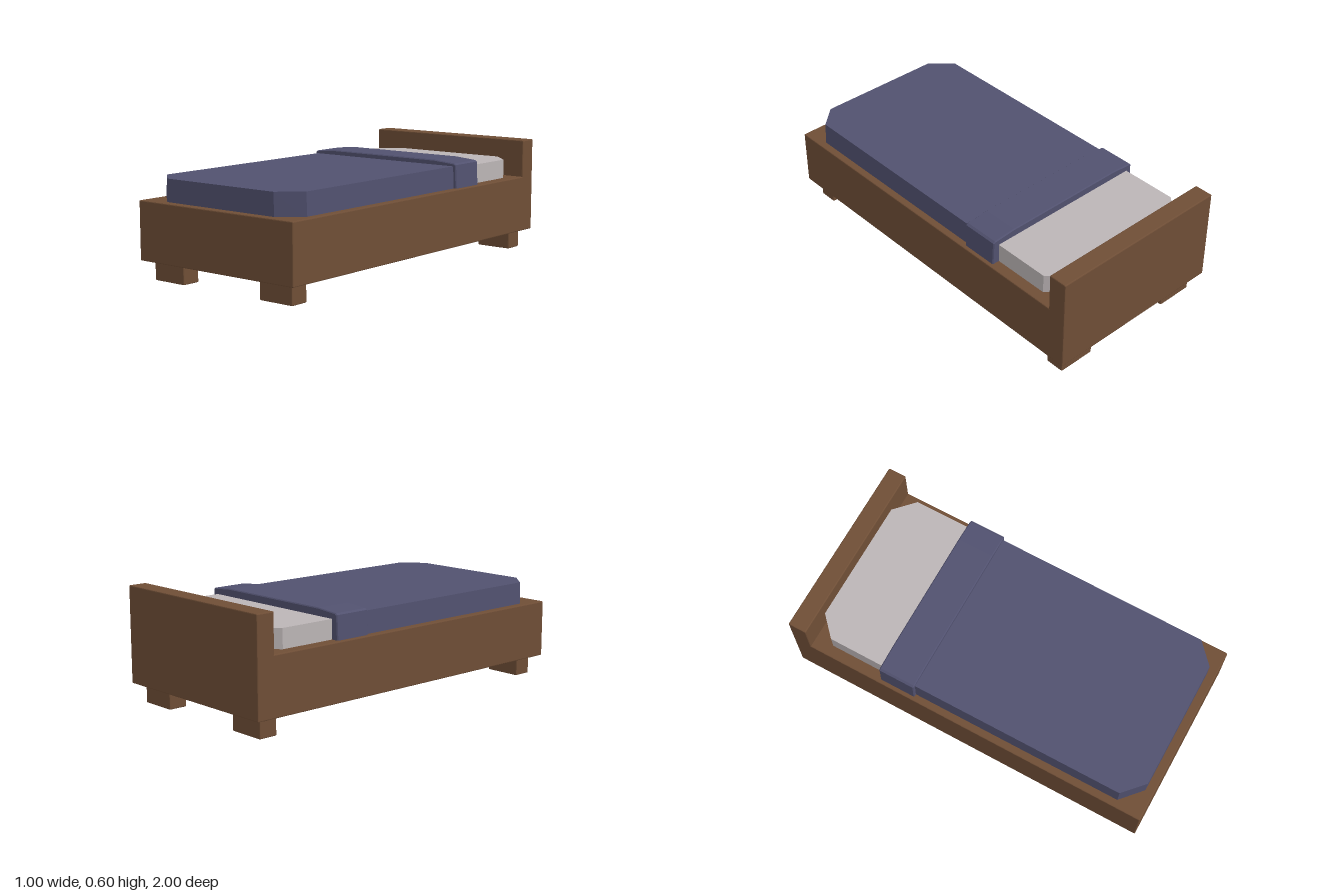
import * as THREE from 'three';
import { RoundedBoxGeometry } from 'three/addons/geometries/RoundedBoxGeometry.js';

const wood = new THREE.MeshStandardMaterial({ color: 0x6f4e36, flatShading: true });
const cloth = new THREE.MeshStandardMaterial({ color: 0x51516f, flatShading: true });
const linen = new THREE.MeshStandardMaterial({ color: 0xbcb5b6, flatShading: true });

// Board with finely eased edges, given by its extents
function board(name, x0, x1, y0, y1, z0, z1) {
  const mesh = new THREE.Mesh(new RoundedBoxGeometry(x1 - x0, y1 - y0, z1 - z0, 1, 0.005), wood);
  mesh.position.set((x0 + x1) / 2, (y0 + y1) / 2, (z0 + z1) / 2);
  mesh.name = name;
  return mesh;
}

// Slab from a plan outline of [x, z] points on the +x side, mirrored to -x
function slab(name, half, y0, y1, material, flare = 0) {
  const outline = [...half, ...half.map(([x, z]) => [-x, z]).reverse()];
  const shape = new THREE.Shape(outline.map(([x, z]) => new THREE.Vector2(x, -z)));
  const geometry = new THREE.ExtrudeGeometry(shape, { depth: y1 - y0, bevelEnabled: false });
  geometry.rotateX(-Math.PI / 2).translate(0, y0, 0);
  // widen the lower edge
  const p = geometry.attributes.position;
  for (let i = 0; i < p.count; i++) {
    if (p.getY(i) < (y0 + y1) / 2) p.setX(i, p.getX(i) * (1 + flare));
  }
  geometry.computeVertexNormals();
  const mesh = new THREE.Mesh(geometry, material);
  mesh.name = name;
  return mesh;
}

// Turned-down band of the blanket: front profile run along z
function foldedBand() {
  const half = [[0.48, 0.39], [0.473, 0.522], [0.462, 0.53], [0.34, 0.54]];
  const profile = [...half, ...half.map(([x, y]) => [-x, y]).reverse()];
  const shape = new THREE.Shape(profile.map(([x, y]) => new THREE.Vector2(x, y)));
  const geometry = new THREE.ExtrudeGeometry(shape, {
    depth: 0.19, bevelSize: 0.005, bevelThickness: 0.005, bevelOffset: -0.005, bevelSegments: 1,
  });
  geometry.translate(0, 0, -0.49);
  const mesh = new THREE.Mesh(geometry, cloth);
  mesh.name = 'blanketFold';
  return mesh;
}

export function createModel() {
  const bed = new THREE.Group();
  bed.name = 'bed';

  // Wooden frame
  bed.add(board('bedBase', -0.5, 0.5, 0.1, 0.4, -1, 1));
  bed.add(board('headboard', -0.5, 0.5, 0.1, 0.6, -1, -0.9));

  // Feet
  for (const sx of [-1, 1]) {
    for (const sz of [-1, 1]) {
      const x = sx * 0.35, z = sz * 0.9;
      const name = (sz > 0 ? 'front' : 'back') + (sx > 0 ? 'Left' : 'Right') + 'Foot';
      bed.add(board(name, x - 0.1, x + 0.1, 0, 0.105, z - 0.05, z + 0.05));
    }
  }

  // Bedding
  bed.add(slab('mattress', [[0.44, -0.35], [0.44, -0.8], [0.335, -0.9]], 0.39, 0.5, linen));
  bed.add(slab('blanket', [[0.345, 0.955], [0.455, 0.855], [0.458, -0.31]], 0.39, 0.515, cloth, 0.012));
  bed.add(foldedBand());
  return bed;
}
